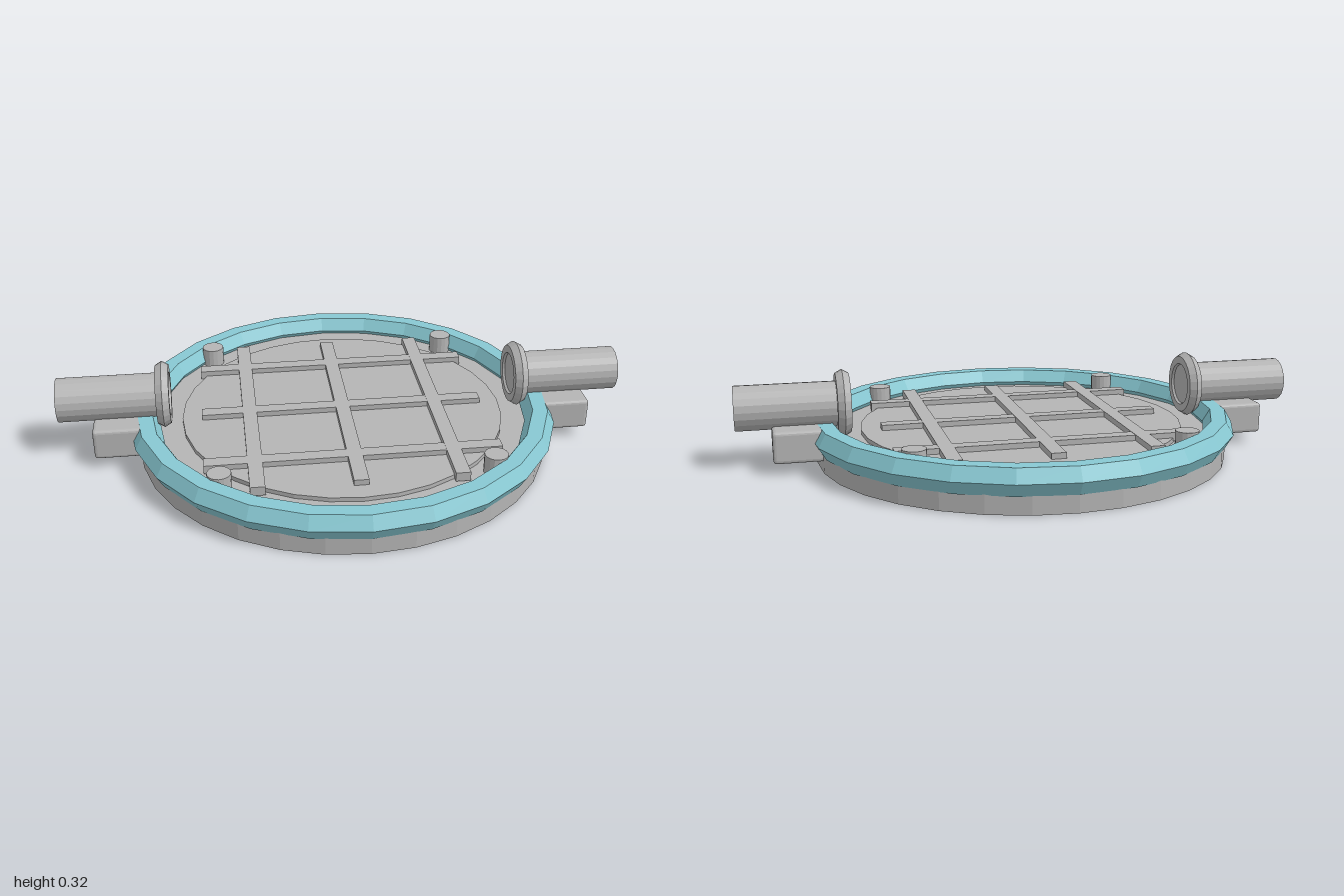
import * as THREE from 'three';
import { RoundedBoxGeometry } from 'three/addons/geometries/RoundedBoxGeometry.js';

const grey = new THREE.MeshStandardMaterial({ color: 0xb4b4b4 });
grey.name = 'grey metal';
const teal = new THREE.MeshStandardMaterial({ color: 0x88c8d2 });
teal.name = 'pale teal';

// Faceted copy of a geometry
function faceted(geometry) {
  const flat = geometry.index ? geometry.toNonIndexed() : geometry;
  flat.computeVertexNormals();
  return flat;
}

function add(parent, name, geometry, material, x, y, z) {
  const mesh = new THREE.Mesh(faceted(geometry), material);
  mesh.name = name;
  mesh.position.set(x, y, z);
  parent.add(mesh);
  return mesh;
}

// Upright cylinder between two heights
function disc(parent, name, radius, bottom, top, sides, x = 0, z = 0) {
  const geometry = new THREE.CylinderGeometry(radius, radius, top - bottom, sides);
  return add(parent, name, geometry, grey, x, (bottom + top) / 2, z);
}

export function createModel() {
  const model = new THREE.Group();
  model.name = 'roundHatch';

  // Base plate and raised inner panel
  disc(model, 'basePlate', 0.73, 0, 0.09, 32);
  disc(model, 'innerPanel', 0.575, 0.08, 0.105, 32);

  // Rim with a hexagonal section
  const rim = new THREE.TorusGeometry(0.708, 0.052, 6, 24).rotateX(Math.PI / 2);
  add(model, 'rim', rim, teal, 0, 0.105, 0);

  // Crossed reinforcing bars
  const grid = new THREE.Group();
  grid.name = 'barGrid';
  model.add(grid);
  for (const offset of [-0.335, 0, 0.335]) {
    add(grid, 'lengthBar', new THREE.BoxGeometry(0.05, 0.032, 1.01), grey, offset, 0.109, 0);
    add(grid, 'crossBar', new THREE.BoxGeometry(1.01, 0.03, 0.048), grey, 0, 0.109, offset);
  }

  // Studs at the four diagonals
  for (const sx of [-1, 1]) {
    for (const sz of [-1, 1]) {
      disc(model, 'stud', 0.04, 0.08, 0.157, 16, sx * 0.455, sz * 0.455);
    }
  }

  // Side mounts: block, horizontal pipe and collar
  for (const side of [-1, 1]) {
    const mount = new THREE.Group();
    mount.name = side > 0 ? 'leftMount' : 'rightMount';
    model.add(mount);
    add(mount, 'mountBlock', new RoundedBoxGeometry(0.2, 0.11, 0.276, 2, 0.012), grey, side * 0.78, 0.095, 0);
    const pipe = new THREE.CylinderGeometry(0.078, 0.078, 0.38, 20).rotateZ(Math.PI / 2);
    add(mount, 'pipe', pipe, grey, side * 0.81, 0.208, 0);
    const collar = new THREE.TorusGeometry(0.09, 0.027, 6, 24).rotateY(Math.PI / 2);
    add(mount, 'pipeCollar', collar, grey, side * 0.635, 0.208, 0);
  }

  return model;
}
